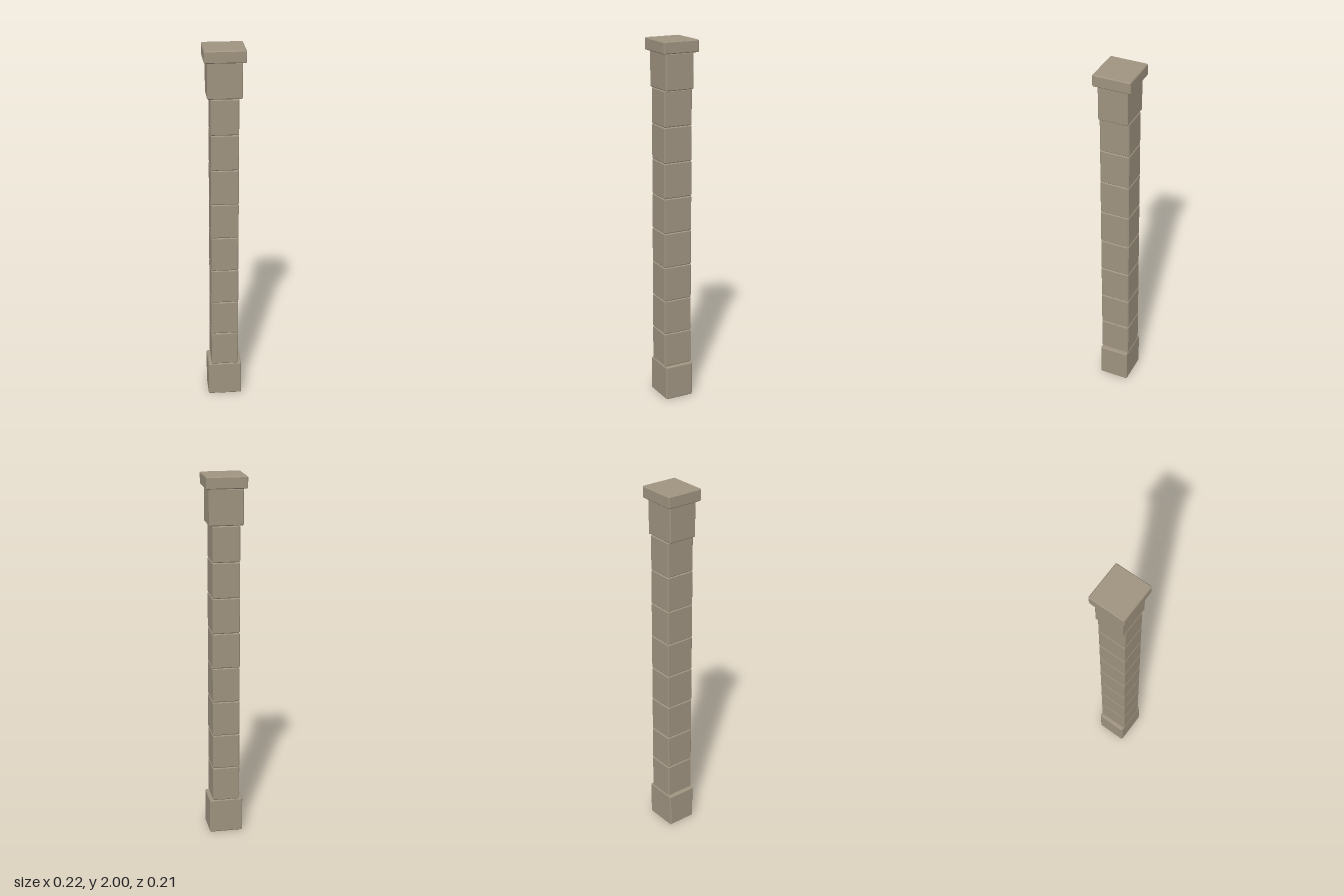
import * as THREE from 'three';
import { ConvexGeometry } from 'three/addons/geometries/ConvexGeometry.js';

// Box with narrow flat chamfers on every edge
function chamferedBox(w, h, d, c) {
  const points = [];
  for (const x of [-1, 1]) for (const y of [-1, 1]) for (const z of [-1, 1]) {
    for (let axis = 0; axis < 3; axis++) {
      const inset = [c, c, c];
      inset[axis] = 0;
      points.push(new THREE.Vector3(
        x * (w / 2 - inset[0]), y * (h / 2 - inset[1]), z * (d / 2 - inset[2])));
    }
  }
  return new ConvexGeometry(points);
}

export function createModel() {
  const column = new THREE.Group();
  column.name = 'stoneColumn';
  const stone = new THREE.MeshStandardMaterial({ color: 0x9f9380 });
  stone.name = 'stone';

  function addBlock(name, w, h, d, bottom) {
    const block = new THREE.Mesh(chamferedBox(w, h, d, 0.005), stone);
    block.name = name;
    block.position.y = bottom + h / 2;
    column.add(block);
  }

  // Stacked blocks: the first and last are wider from side to side
  const count = 10;
  const blockHeight = 0.1935;
  for (let i = 0; i < count; i++) {
    const isEnd = i === 0 || i === count - 1;
    const name = i === 0 ? 'baseBlock' : isEnd ? 'headBlock' : `shaftBlock${i}`;
    addBlock(name, isEnd ? 0.184 : 0.148, blockHeight, 0.164, i * blockHeight);
  }

  // Overhanging cap slab
  const capBottom = count * blockHeight;
  addBlock('capSlab', 0.219, 2 - capBottom, 0.206, capBottom);

  return column;
}
